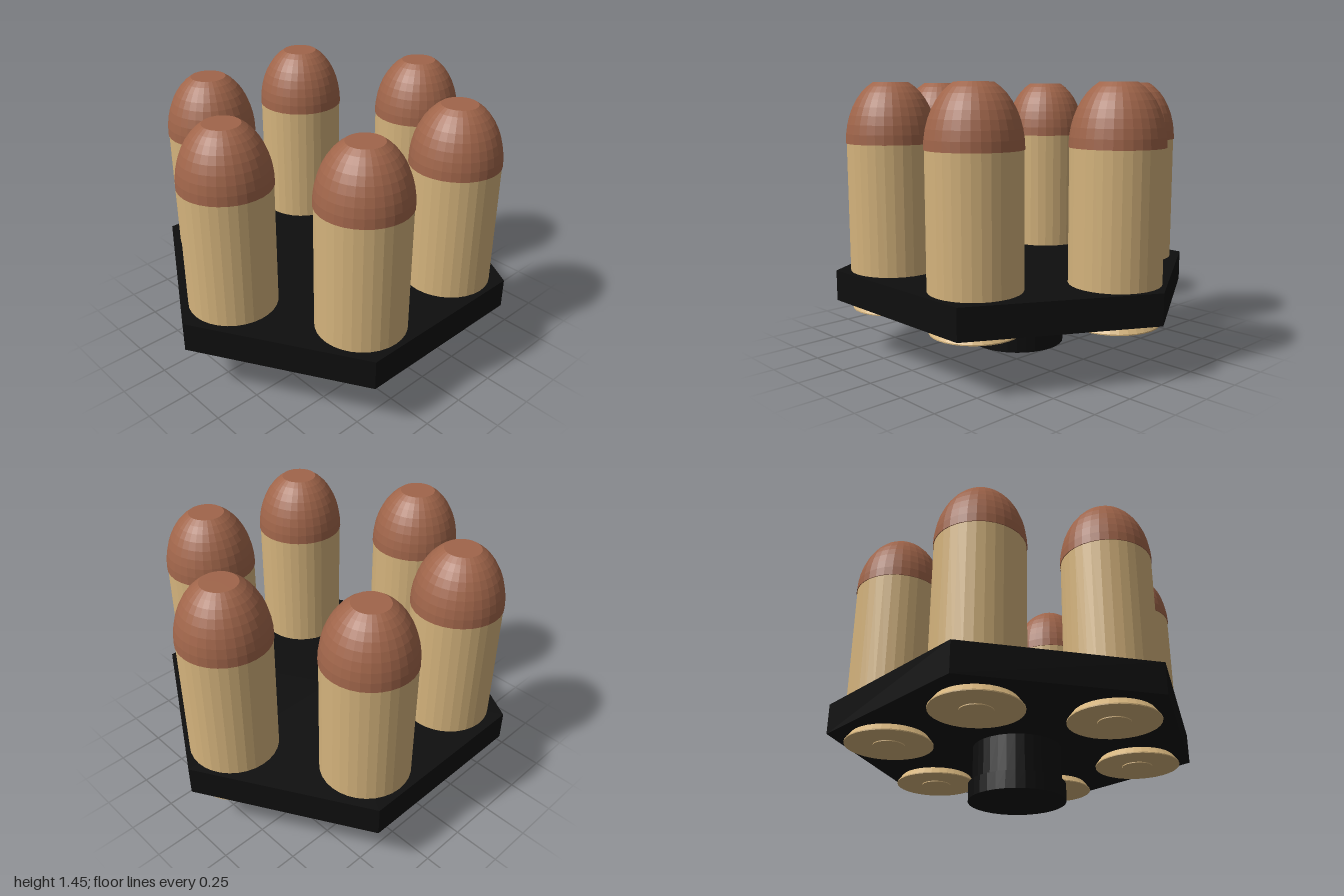
import * as THREE from 'three';

const SIDES = 32;
const material = (color) => new THREE.MeshStandardMaterial({ color, flatShading: true, side: THREE.DoubleSide });

function part(name, geometry, mat, y = 0) {
  const mesh = new THREE.Mesh(geometry, mat);
  mesh.name = name;
  mesh.position.y = y;
  return mesh;
}

// Cylinder or cone spanning y0 to y1
function drum(name, r0, r1, y0, y1, mat, sides = SIDES) {
  return part(name, new THREE.CylinderGeometry(r1, r0, y1 - y0, sides), mat, (y0 + y1) / 2);
}

const lathe = (points) =>
  new THREE.LatheGeometry(points.map(([r, y]) => new THREE.Vector2(r, y)), SIDES);

export function createModel() {
  const model = new THREE.Group();
  const black = material(0x0e0e0e);
  const brass = material(0xd4b37c);
  const copper = material(0xa0654a);

  // Hexagonal holder with a stepped hub underneath
  model.add(drum('holderPlate', 1, 1, 0.293, 0.456, black, 6));
  model.add(drum('hub', 0.237, 0.237, 0.09, 0.3, black));
  model.add(drum('hubFoot', 0.258, 0.258, 0, 0.093, black));

  // Case: flared rim, extraction groove, straight wall
  const caseGeometry = lathe([
    [0, 0.25], [0.23, 0.25], [0.23, 0.256], [0.2, 0.295], [0.2, 0.32],
    [0.236, 0.35], [0.236, 1.135], [0, 1.135],
  ]);

  // Bullet: elliptical nose cut off flat at the tip
  const nose = [[0, 1.135]];
  const cut = Math.asin(0.92);
  for (let i = 0; i <= 8; i++) {
    const a = (cut * i) / 8;
    nose.push([0.24 * Math.cos(a), 1.135 + 0.342 * Math.sin(a)]);
  }
  nose.push([0, nose[nose.length - 1][1]]);
  const noseGeometry = lathe(nose);

  // Six cartridges around the plate
  const spots = [
    [0, -0.7], [0.6, -0.325], [0.6, 0.335],
    [0, 0.68], [-0.58, 0.345], [-0.6, -0.325],
  ];
  spots.forEach(([x, z], i) => {
    const cartridge = new THREE.Group();
    cartridge.name = `cartridge${i + 1}`;
    cartridge.position.set(x, 0, z);
    cartridge.add(part('case', caseGeometry, brass));
    cartridge.add(part('bullet', noseGeometry, copper));
    cartridge.add(drum('primer', 0.083, 0.083, 0.245, 0.26, brass));
    model.add(cartridge);
  });

  return model;
}
